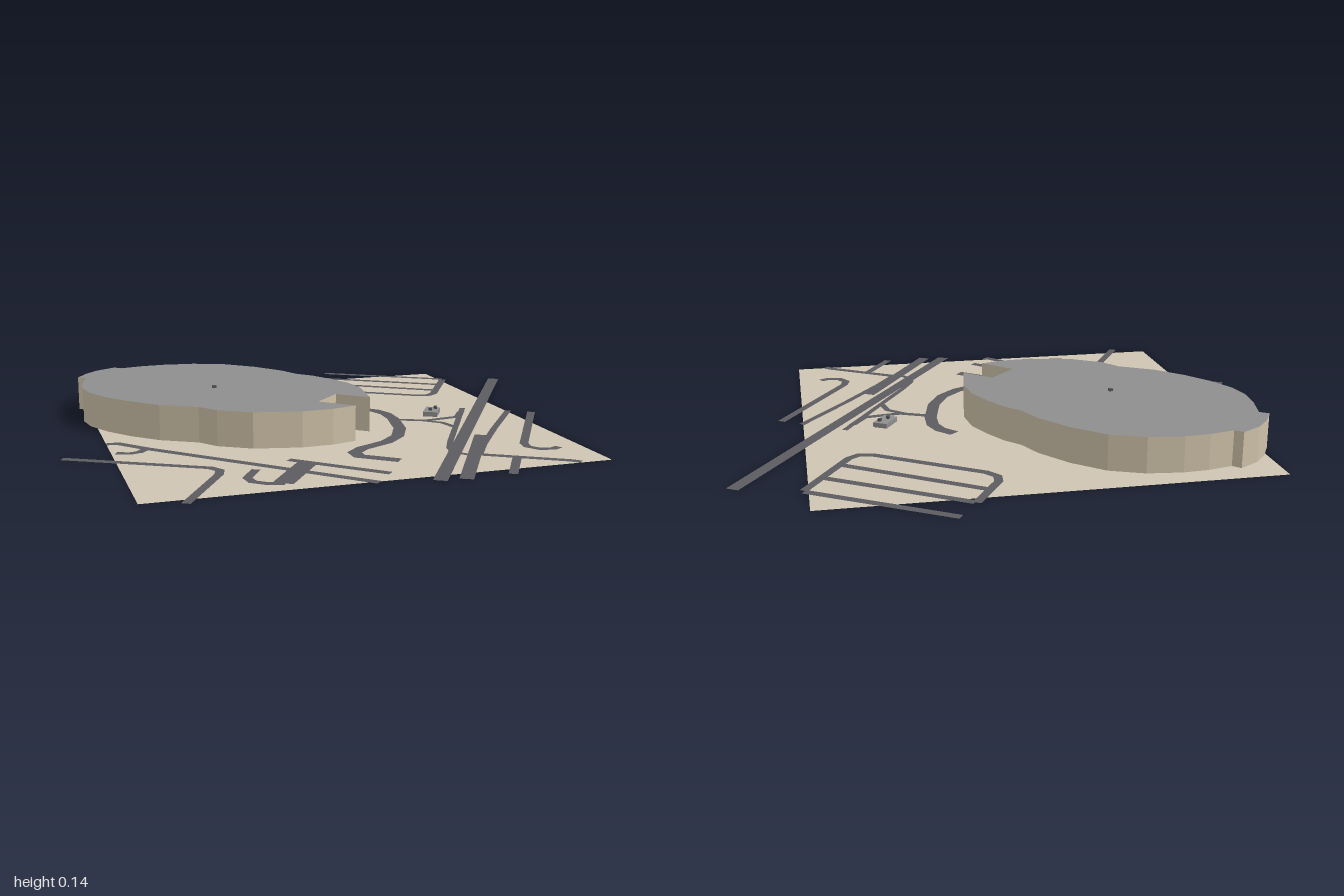
import * as THREE from 'three';

const mat = (color, side = THREE.FrontSide) =>
  new THREE.MeshStandardMaterial({ color, side, flatShading: true });

const MAT = {
  ground: mat(0xcfc5b2, THREE.DoubleSide),
  road: mat(0x5c5c60, THREE.DoubleSide),
  wall: mat(0xcfc2a9),
  roof: mat(0x8e8e8e),
  dark: mat(0x555558),
};

// Building outline as x, z pairs
const OUTLINE = [
  [-0.49, -0.67], [-0.58, -0.665], [-0.67, -0.645], [-0.695, -0.67], [-0.77, -0.625], [-0.82, -0.57],
  [-0.86, -0.5], [-0.83, -0.48], [-0.855, -0.375], [-0.865, -0.28], [-0.85, -0.19], [-0.8, -0.09],
  [-0.73, 0.005], [-0.64, 0.095], [-0.515, 0.17], [-0.465, 0.24], [-0.355, 0.31], [-0.19, 0.347],
  [-0.075, 0.342], [0.015, 0.317], [-0.09, 0.215], [0.01, 0.112], [0.11, 0.203], [0.135, 0.04],
  [0.123, -0.07], [0.08, -0.17], [0.035, -0.25], [-0.015, -0.305], [-0.055, -0.395], [-0.14, -0.51],
  [-0.245, -0.605], [-0.365, -0.655],
];

// Flat ribbon with mitred bends along x, z points
function ribbon(width, pts) {
  const P = pts.map(([x, z]) => new THREE.Vector2(x, z));
  const pos = [], idx = [];
  P.forEach((p, i) => {
    const a = P[Math.max(i - 1, 0)], b = P[Math.min(i + 1, P.length - 1)];
    const d1 = (i > 0 ? p.clone().sub(a) : b.clone().sub(p)).normalize();
    const d2 = (i < P.length - 1 ? b.clone().sub(p) : d1.clone()).normalize();
    const t = d1.clone().add(d2).normalize();
    const h = width / 2 / Math.max(t.dot(d1), 0.6);
    pos.push(p.x - t.y * h, 0, p.y + t.x * h, p.x + t.y * h, 0, p.y - t.x * h);
    if (i) {
      const k = 2 * i;
      idx.push(k - 2, k, k - 1, k - 1, k, k + 1);
    }
  });
  const g = new THREE.BufferGeometry();
  g.setAttribute('position', new THREE.Float32BufferAttribute(pos, 3));
  g.setIndex(idx);
  g.computeVertexNormals();
  return g;
}

// Vertical prism on an x, z outline, with separate cap and wall materials
function prism(outline, height, cap, wall) {
  const shape = new THREE.Shape(outline.map(([x, z]) => new THREE.Vector2(x, -z)));
  const g = new THREE.ExtrudeGeometry(shape, { depth: height, bevelEnabled: false });
  g.rotateX(-Math.PI / 2);
  return new THREE.Mesh(g, [cap, wall]);
}

export function createModel() {
  const model = new THREE.Group();
  model.name = 'siteModel';
  const add = (mesh, name, parent = model) => {
    mesh.name = name;
    parent.add(mesh);
    return mesh;
  };

  // Ground sheet
  const ground = add(new THREE.Mesh(new THREE.PlaneGeometry(1.57, 1.57), MAT.ground), 'ground');
  ground.rotation.x = -Math.PI / 2;
  ground.position.set(-0.045, 0, 0.03);

  // Large rounded building with a small roof vent
  add(prism(OUTLINE, 0.128, MAT.roof, MAT.wall), 'mainBuilding');
  const vent = add(new THREE.Mesh(new THREE.BoxGeometry(0.016, 0.01, 0.012), MAT.dark), 'roofVent');
  vent.position.set(-0.39, 0.132, -0.14);

  // Small hut with rooftop boxes
  const hut = add(new THREE.Group(), 'hut');
  hut.position.set(0.438, 0, 0.013);
  hut.rotation.y = -0.54;
  add(new THREE.Mesh(new THREE.BoxGeometry(0.055, 0.018, 0.092), MAT.roof), 'hutBody', hut).position.y = 0.009;
  [[0.012, -0.022], [-0.004, 0.016]].forEach(([x, z]) => {
    add(new THREE.Mesh(new THREE.BoxGeometry(0.012, 0.01, 0.012), MAT.dark), 'hutVent', hut)
      .position.set(x, 0.023, z);
  });

  // Roads, each a width and a path
  const roads = add(new THREE.Group(), 'roads');
  roads.position.y = 0.003;
  const road = (name, width, pts) =>
    add(new THREE.Mesh(ribbon(width, pts), MAT.road), name, roads);

  // Highway and its slip lanes
  road('highway', 0.046, [[0.095, 0.872], [0.98, -0.54]]);
  road('highwayBranch', 0.046, [[0.18, 0.882], [0.47, 0.385]]);
  road('westSlip', 0.022, [[0.31, 0.62], [0.275, 0.57], [0.285, 0.52], [0.33, 0.43], [0.592, -0.035]]);
  road('eastSlip', 0.024, [[0.34, 0.64], [0.42, 0.51], [0.56, 0.31], [0.745, 0.06]]);
  road('eastRoad', 0.03, [[0.82, 0.11], [0.56, 0.54], [0.55, 0.585], [0.575, 0.625], [0.62, 0.637], [0.652, 0.62]]);
  road('southRoad', 0.03, [[0.35, 0.63], [0.6, 0.79], [0.625, 0.815]]);
  road('southSpur', 0.03, [[0.45, 0.7], [0.345, 0.875]]);

  // Car park loop with parallel aisles
  road('parkingOuter', 0.03, [[0.295, -0.893], [0.755, -0.603]]);
  road('parkingAisle', 0.03, [[0.235, -0.79], [0.685, -0.5]]);
  road('parkingAisle', 0.03, [[0.175, -0.695], [0.625, -0.39]]);
  road('parkingLoop', 0.03, [[0.755, -0.595], [0.595, -0.33], [0.56, -0.305], [0.51, -0.315],
    [0.155, -0.55], [0.125, -0.59], [0.13, -0.635], [0.23, -0.795]]);

  // Winding access road and links to the hut
  road('accessRoad', 0.046, [[0.2, -0.145], [0.245, -0.095], [0.265, -0.035], [0.262, 0.05], [0.23, 0.2],
    [0.18, 0.305], [0.11, 0.375], [0.0, 0.43], [-0.045, 0.475], [-0.045, 0.525], [0.065, 0.615]]);
  road('hutLink', 0.028, [[0.265, 0.07], [0.37, 0.118], [0.51, 0.098], [0.56, 0.02]]);
  road('hutLinkSpur', 0.024, [[0.36, 0.118], [0.415, 0.17], [0.43, 0.245]]);

  // Roads in the south-west corner
  road('westRoad', 0.03, [[-0.995, 0.255], [-0.55, 0.512], [-0.528, 0.548], [-0.538, 0.59], [-0.698, 0.86]]);
  road('diagonalRoad', 0.032, [[-0.83, 0.105], [-0.79, 0.11], [-0.705, 0.21], [-0.09, 0.832]]);
  road('diagonalSpur', 0.03, [[-0.705, 0.205], [-0.735, 0.245], [-0.77, 0.255], [-0.815, 0.237]]);
  road('crossRoad', 0.032, [[-0.283, 0.495], [-0.02, 0.748]]);
  road('wideLot', 0.068, [[-0.235, 0.55], [-0.375, 0.75]]);
  road('hookRoad', 0.03, [[-0.415, 0.575], [-0.465, 0.66], [-0.46, 0.705], [-0.42, 0.74], [-0.37, 0.757]]);

  return model;
}
